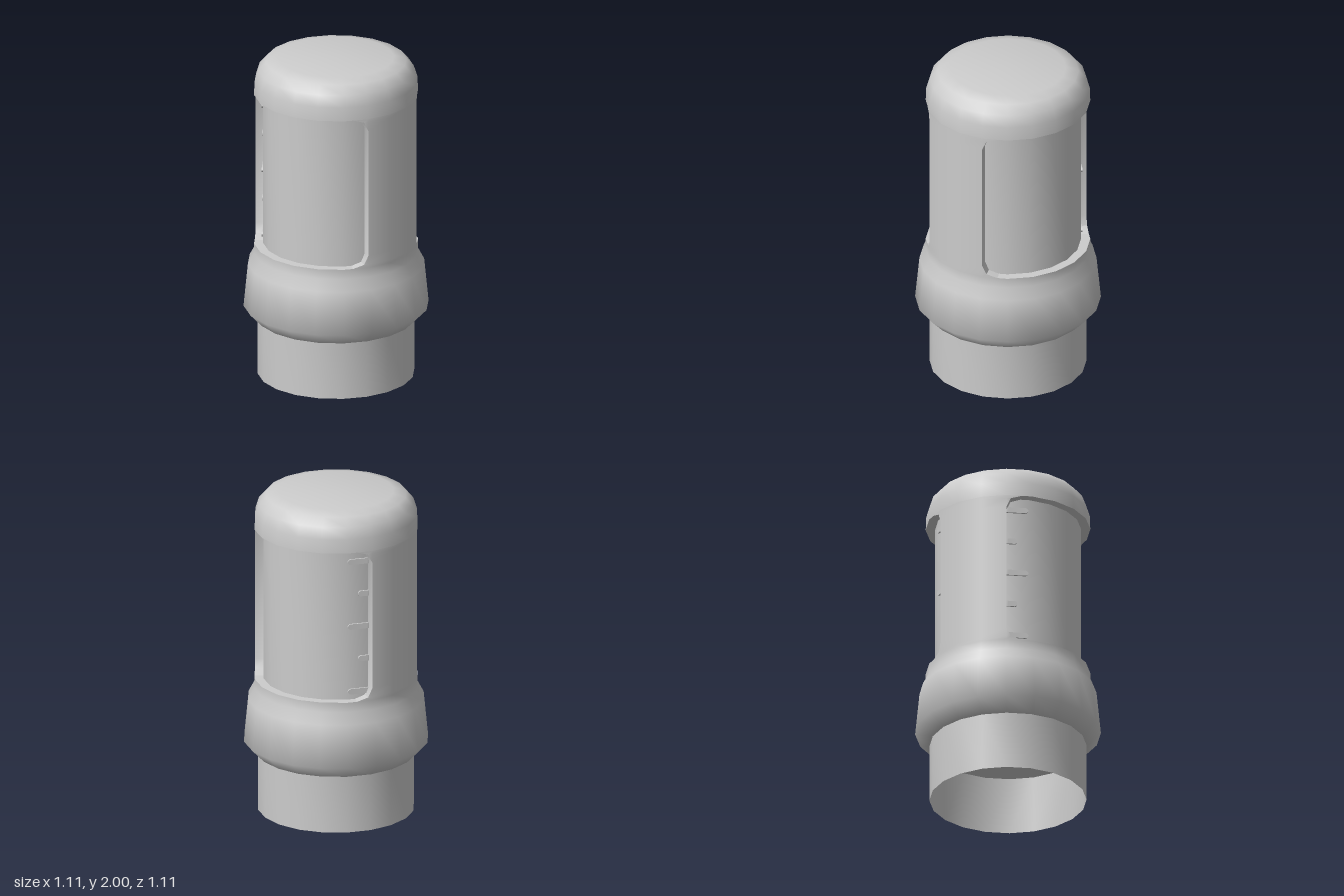
import * as THREE from 'three';
import { toCreasedNormals } from 'three/addons/utils/BufferGeometryUtils.js';

const SIDES = 20;
const RAD = Math.PI / 180;
const STEP = 360 / SIDES;
const OUTER = 0.49, INNER = 0.435;
const WINDOW_LOW = 0.83, WINDOW_HIGH = 1.775;

const grey = new THREE.MeshStandardMaterial({ color: 0xcccccc });
const thin = new THREE.MeshStandardMaterial({ color: 0xcccccc, side: THREE.DoubleSide });

// Point on a 20-sided prism: azimuth in degrees, measured from +z towards +x
function onPrism(radius, azimuth, y) {
  const off = (((azimuth % STEP) + STEP) % STEP) - STEP / 2;
  const r = radius * Math.cos(STEP / 2 * RAD) / Math.cos(off * RAD);
  return [r * Math.sin(azimuth * RAD), y, r * Math.cos(azimuth * RAD)];
}

function part(name, geometry, material = grey) {
  const mesh = new THREE.Mesh(geometry, material);
  mesh.name = name;
  return mesh;
}

function lathe(name, profile, crease, material) {
  const points = profile.map(([r, y]) => new THREE.Vector2(r, y));
  return part(name, toCreasedNormals(new THREE.LatheGeometry(points, SIDES), crease), material);
}

// Pillar between the windows; it flares at both ends to round the window corners
function pillar(name, centre) {
  const rows = [
    [WINDOW_LOW, 38], [0.85, 30], [0.905, 27],
    [1.70, 27], [1.755, 30], [WINDOW_HIGH, 38],
  ];
  const positions = [], index = [];
  const columns = 8;
  for (const [y, half] of rows) {
    positions.push(...onPrism(INNER - 0.01, centre - half, y));
    for (const a of [-half, -27, -9, 9, 27, half]) positions.push(...onPrism(OUTER, centre + a, y));
    positions.push(...onPrism(INNER - 0.01, centre + half, y));
  }
  for (let i = 0; i < rows.length - 1; i++) {
    for (let j = 0; j < columns - 1; j++) {
      const a = i * columns + j, b = a + 1, d = a + columns, c = d + 1;
      index.push(a, b, c, a, c, d);
    }
  }
  const geometry = new THREE.BufferGeometry();
  geometry.setAttribute('position', new THREE.Float32BufferAttribute(positions, 3));
  geometry.setIndex(index);
  geometry.computeVertexNormals();
  return part(name, toCreasedNormals(geometry, 0.6), thin);
}

// Raised mark with round ends, bent around the inner cylinder
function mark(from, to, y) {
  const geometry = new THREE.BoxGeometry(1, 1, 1, 16, 1, 1);
  const pos = geometry.attributes.position;
  const length = (to - from) * RAD * INNER, round = 0.017;
  for (let i = 0; i < pos.count; i++) {
    const u = pos.getX(i) + 0.5;
    const end = Math.min(u, 1 - u) * length;
    const k = end < round ? Math.sqrt(1 - (1 - end / round) ** 2) : 1;
    const radius = pos.getZ(i) > 0 ? INNER + 0.01 : INNER - 0.01;
    pos.setXYZ(i, ...onPrism(radius, from + u * (to - from), y + pos.getY(i) * 2 * round * Math.max(k, 0.2)));
  }
  geometry.computeVertexNormals();
  return part('graduationMark', toCreasedNormals(geometry, 0.6));
}

export function createModel() {
  const model = new THREE.Group();
  model.name = 'canister';

  // Open tube at the foot, closed off inside at the collar
  model.add(lathe('baseTube', [[0.468, 0], [0.468, 0.36]], 0.6, thin));
  const floor = part('innerFloor', new THREE.CircleGeometry(0.468, SIDES), thin);
  floor.rotation.x = Math.PI / 2;
  floor.position.y = 0.355;
  model.add(floor);

  // Flared collar with the lower window ledge
  model.add(lathe('collar', [
    [0.46, 0.355], [0.478, 0.357], [0.553, 0.435], [0.527, 0.70],
    [OUTER, 0.77], [OUTER, WINDOW_LOW], [0.42, WINDOW_LOW],
  ], 1.0));

  // Inner cylinder seen through the windows
  model.add(lathe('innerCylinder', [[INNER, 0.82], [INNER, 1.79]], 0.6, thin));

  // Domed cap with a flat top
  model.add(lathe('cap', [
    [0.42, WINDOW_HIGH], [OUTER, WINDOW_HIGH], [0.487, 1.86], [0.465, 1.93],
    [0.42, 1.98], [0.345, 2], [0, 2],
  ], 1.0));

  model.add(pillar('frontPillar', 45), pillar('backPillar', 225));

  // Alternating long and short marks on each side of the back pillar
  const marks = new THREE.Group();
  marks.name = 'graduationMarks';
  for (let i = 0; i < 5; i++) {
    const y = 0.88 + i * 0.205;
    const start = i % 2 ? 189.5 : 181;
    marks.add(mark(start, 201, y), mark(450 - 201, 450 - start, y));
  }
  model.add(marks);
  return model;
}
